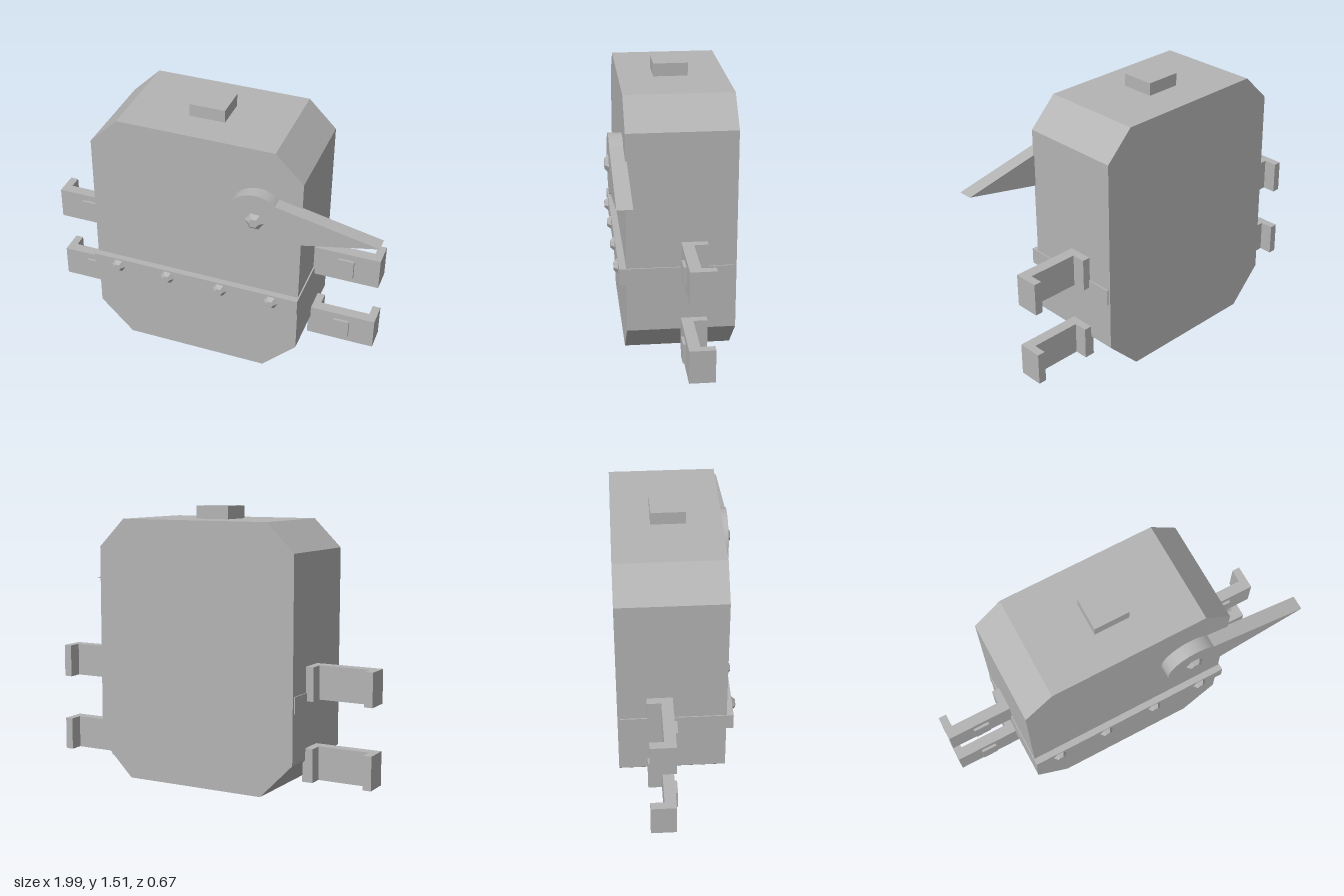
import * as THREE from 'three';

export function createModel() {
  const model = new THREE.Group();
  model.name = 'gaugeCase';
  const grey = new THREE.MeshStandardMaterial({ color: 0xb4b4b4 });
  grey.name = 'plain grey';
  const MID = -0.033; // centre line of the case in x

  function add(name, geometry, parent = model) {
    const mesh = new THREE.Mesh(geometry, grey);
    mesh.name = name;
    parent.add(mesh);
    return mesh;
  }

  // Box given by its limits on each axis
  function box(name, x0, x1, y0, y1, z0, z1, parent) {
    const g = new THREE.BoxGeometry(x1 - x0, y1 - y0, z1 - z0);
    g.translate((x0 + x1) / 2, (y0 + y1) / 2, (z0 + z1) / 2);
    return add(name, g, parent);
  }

  function plate(name, shape, z0, z1) {
    const g = new THREE.ExtrudeGeometry(shape, { depth: z1 - z0, bevelEnabled: false, curveSegments: 24 });
    g.translate(0, 0, z0);
    return add(name, g);
  }

  // Faceted rivet head facing forward
  function rivet(name, x, y, z0, z1, radius) {
    const g = new THREE.CylinderGeometry(radius * 0.48, radius, z1 - z0, 6).toNonIndexed();
    g.computeVertexNormals();
    g.rotateX(Math.PI / 2);
    g.rotateZ(0.48);
    g.translate(x, y, (z0 + z1) / 2);
    add(name, g);
  }

  // Case with cut corners
  const outline = [
    [-0.44, 0], [0.37, 0], [0.56, 0.19], [0.56, 1.285],
    [0.405, 1.44], [-0.47, 1.44], [-0.627, 1.285], [-0.627, 0.19],
  ].map(([x, y]) => new THREE.Vector2(x, y));
  plate('case', new THREE.Shape(outline), -0.335, 0.243);

  // Top button
  box('topButton', -0.132, 0.065, 1.43, 1.51, -0.13, 0.055);

  // Riveted band around the case
  box('band', -0.633, 0.567, 0.46, 0.55, -0.322, 0.28);
  for (const x of [-0.487, -0.19, 0.122, 0.418]) rivet('bandRivet', x, 0.505, 0.275, 0.302, 0.044);

  // Pointer: round hub drawn out to a tip
  const cx = 0.325, cy = 1.05, r = 0.16, a = 0.83;
  const pointer = new THREE.Shape();
  pointer.moveTo(0.99, cy);
  pointer.lineTo(cx + r * Math.cos(a), cy + r * Math.sin(a));
  pointer.absarc(cx, cy, r, a, 2 * Math.PI - a, false);
  pointer.closePath();
  plate('pointer', pointer, 0.235, 0.315);
  rivet('pointerRivet', cx, cy, 0.31, 0.336, 0.057);

  // Four U-shaped brackets, each with a small raised pad
  for (const side of [-1, 1]) {
    for (const y of [0.07, 0.505]) {
      const bracket = new THREE.Group();
      bracket.name = side > 0 ? 'leftBracket' : 'rightBracket';
      model.add(bracket);
      const part = (name, d0, d1, y0, y1, z0, z1) => {
        const xs = [MID + side * d0, MID + side * d1].sort((p, q) => p - q);
        box(name, xs[0], xs[1], y + y0, y + y1, z0, z1, bracket);
      };
      part('bracketPlate', 0.578, 0.967, 0, 0.183, -0.105, -0.043);
      part('bracketInnerTab', 0.578, 0.637, 0, 0.183, -0.18, -0.105);
      part('bracketOuterTab', 0.922, 0.967, 0, 0.183, -0.18, -0.105);
      part('bracketPad', 0.733, 0.823, 0.036, 0.146, -0.05, -0.028);
    }
  }
  return model;
}
